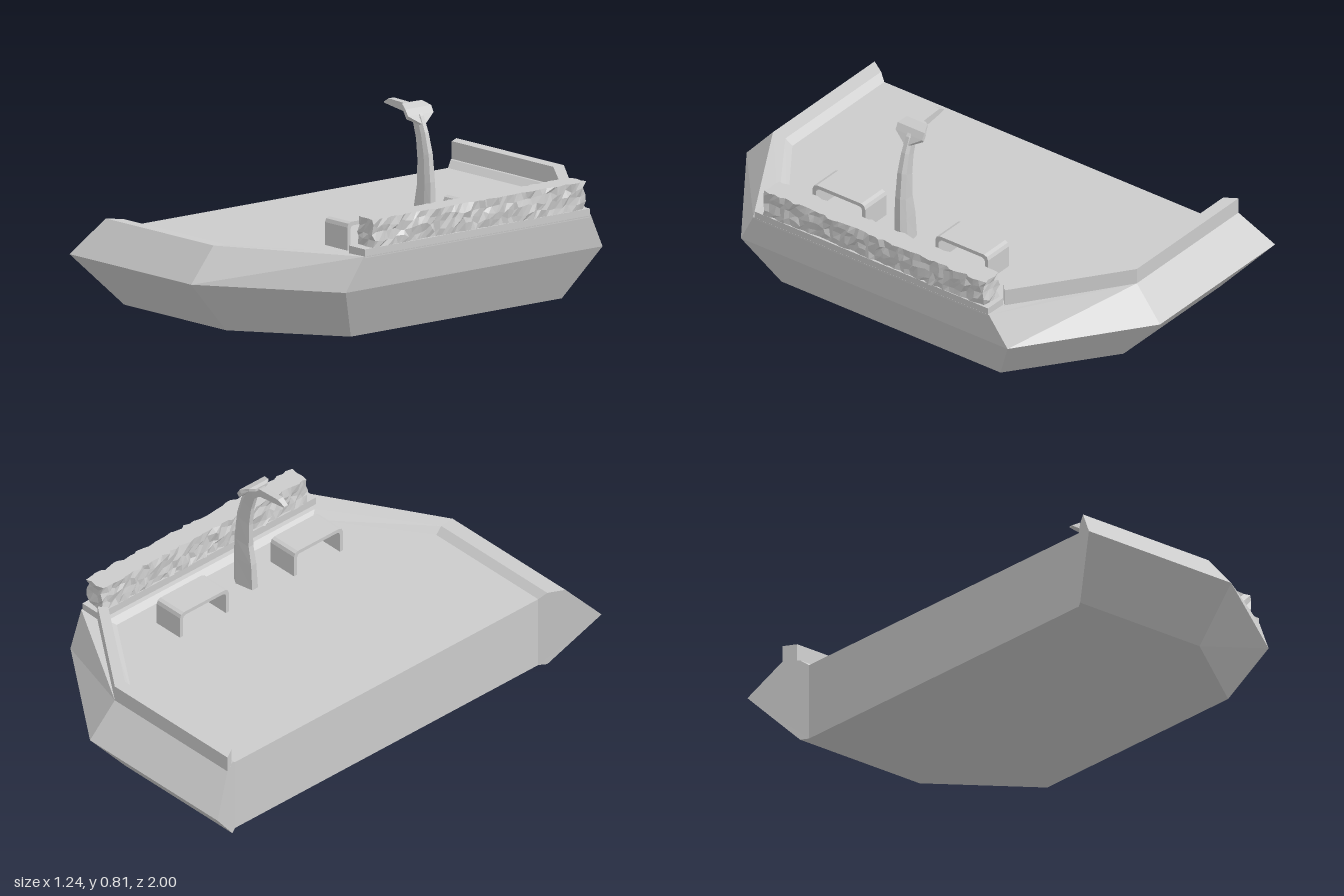
import * as THREE from 'three';

const material = new THREE.MeshStandardMaterial({ color: 0xcccccc, flatShading: true });

function addMesh(group, name, geometry) {
  const mesh = new THREE.Mesh(geometry, material);
  mesh.name = name;
  group.add(mesh);
  return mesh;
}

// Closed solid through a row of matching loops, with fan caps and outward faces
function loft(loops) {
  const tris = [];
  const n = loops[0].length;
  for (let i = 0; i < loops.length - 1; i++) {
    for (let j = 0; j < n; j++) {
      const k = (j + 1) % n;
      const a = loops[i][j], b = loops[i][k], c = loops[i + 1][k], d = loops[i + 1][j];
      tris.push([a, b, c], [a, c, d]);
    }
  }
  const first = loops[0], last = loops[loops.length - 1];
  for (let j = 1; j < n - 1; j++) {
    tris.push([first[0], first[j + 1], first[j]], [last[0], last[j], last[j + 1]]);
  }
  // Signed volume tells which way the faces point
  const v = (p) => new THREE.Vector3(...p);
  const volume = tris.reduce((sum, [a, b, c]) => sum + v(a).dot(v(b).cross(v(c))), 0);
  const positions = tris.flatMap(([a, b, c]) => (volume < 0 ? [a, c, b] : [a, b, c]).flat());
  const geometry = new THREE.BufferGeometry();
  geometry.setAttribute('position', new THREE.Float32BufferAttribute(positions, 3));
  geometry.computeVertexNormals();
  return geometry;
}

// Hull cross-section rows: height, then x, z at the cut end, side corner and bow corner
const rows = [
  [0, [-0.49, 0.79], [0.085, 0.79], [0.48, 0.51]],
  [0, [-0.509, 0.82], [0.095, 0.82], [0.49, 0.53]],
  [0.205, [-0.62, 1], [0.1, 1], [0.595, 0.645]],
  [0.34, [-0.546, 0.88], [0.09, 0.88], [0.615, 0.57]],
  [0.335, [-0.509, 0.82], [0.09, 0.82], [0.5, 0.54]],
  [0.31, [-0.49, 0.79], [0.085, 0.79], [0.48, 0.51]],
];

function hullLoops() {
  const station = (i, side) => rows.map((r) => [r[i][0], r[0], side * r[i][1]]);
  return [station(1, 1), station(2, 1), station(3, 1), station(3, -1), station(2, -1), station(1, -1)];
}

function floorGeometry() {
  const inner = rows[5].slice(1);
  const outline = [...inner, ...inner.slice().reverse().map(([x, z]) => [x, -z])];
  return loft([0, 0.31].map((y) => outline.map(([x, z]) => [x, y, z])));
}

// Raised wall along the rear rim and its diagonal
function wallGeometry() {
  const stations = [
    [-0.546, -0.88, -0.515, -0.83],
    [0.09, -0.88, 0.086, -0.83],
    [0.52, -0.572, 0.49, -0.545],
  ];
  return loft(stations.map(([ox, oz, ix, iz]) => [
    [ox, 0.335, oz], [ox, 0.405, oz], [ix, 0.405, iz], [ix, 0.325, iz],
  ]));
}

// Small repeatable noise from a vertex position, -1 to 1
function noise(x, y, z, seed) {
  const s = Math.sin(Math.round(x * 500) * 12.99 + Math.round(y * 500) * 78.23 + Math.round(z * 500) * 37.72 + seed) * 43758.55;
  return 2 * (s - Math.floor(s)) - 1;
}

// Rough-hewn block: level top, chipped sides
function stoneGeometry() {
  const box = new THREE.BoxGeometry(0.088, 0.11, 1.065, 3, 4, 44);
  const p = box.attributes.position;
  for (let i = 0; i < p.count; i++) {
    const x = p.getX(i), y = p.getY(i), z = p.getZ(i);
    const inside = Math.abs(y) < 0.05;
    p.setXYZ(i,
      x + 0.008 * noise(x, y, z, 1),
      y + (inside ? 0.009 * noise(x, y, z, 2) : 0),
      z + 0.008 * noise(x, y, z, 3));
  }
  const geometry = box.toNonIndexed();
  geometry.computeVertexNormals();
  return geometry;
}

// Arched bench profile (z, y) swept across x
function benchGeometry() {
  const arch = (w, h, r) => [
    [-w, 0], [-w, h - r], [-w + 0.3 * r, h - 0.3 * r], [-w + r, h],
    [w - r, h], [w - 0.3 * r, h - 0.3 * r], [w, h - r], [w, 0],
  ];
  const points = [...arch(0.127, 0.11, 0.02), ...arch(0.112, 0.095, 0.015).reverse()];
  const shape = new THREE.Shape(points.map(([a, b]) => new THREE.Vector2(a, b)));
  const geometry = new THREE.ExtrudeGeometry(shape, { depth: 0.132, bevelEnabled: false });
  geometry.translate(0, 0, -0.066);
  geometry.rotateY(Math.PI / 2);
  return geometry;
}

// Curved column: inner x, inner y, outer x, outer y, half width
function columnGeometry() {
  const sections = [
    [0.295, 0.31, 0.397, 0.31, 0.03],
    [0.303, 0.42, 0.4, 0.43, 0.027],
    [0.318, 0.5, 0.397, 0.52, 0.024],
    [0.319, 0.6, 0.385, 0.63, 0.021],
    [0.309, 0.68, 0.362, 0.71, 0.018],
    [0.29, 0.74, 0.335, 0.77, 0.016],
    [0.265, 0.775, 0.3, 0.803, 0.013],
  ];
  return loft(sections.map(([ix, iy, ox, oy, w]) => {
    const at = (t, z) => [ix + (ox - ix) * t, iy + (oy - iy) * t, z];
    return [at(0, -w * 0.5), at(0.75, -w), at(1, -w * 0.5), at(1, w * 0.5), at(0.75, w), at(0, w * 0.5)];
  }));
}

// Rectangular sections: x, bottom y, top y, half width
function bladeGeometry(sections) {
  return loft(sections.map(([x, low, high, w, shift = 0]) => [
    [x - shift, low, -w], [x, high, -w], [x, high, w], [x - shift, low, w],
  ]));
}

export function createModel() {
  const model = new THREE.Group();

  // Base
  addMesh(model, 'hull', loft(hullLoops()));
  addMesh(model, 'floor', floorGeometry());
  addMesh(model, 'rearWall', wallGeometry());

  // Side sill carrying the rough block
  const sill = addMesh(model, 'sill', new THREE.BoxGeometry(0.095, 0.035, 1.13));
  sill.position.set(0.567, 0.35, 0);
  const stone = addMesh(model, 'roughStone', stoneGeometry());
  stone.position.set(0.567, 0.421, -0.012);

  // Benches either side of the column
  for (const z of [-0.262, 0.332]) {
    const bench = addMesh(model, 'bench', benchGeometry());
    bench.position.set(0.32, 0.31, z);
  }

  // Curved column with crest and pointed beak
  const post = new THREE.Group();
  post.name = 'curvedPost';
  post.position.z = 0.04;
  addMesh(post, 'column', columnGeometry());
  addMesh(post, 'beak', bladeGeometry([
    [0.12, 0.788, 0.792, 0.01],
    [0.152, 0.785, 0.81, 0.013],
    [0.25, 0.774, 0.807, 0.015],
    [0.295, 0.745, 0.8, 0.015],
  ]));
  addMesh(post, 'crest', bladeGeometry([
    [0.26, 0.8, 0.812, 0.03],
    [0.275, 0.803, 0.815, 0.05],
    [0.312, 0.785, 0.8, 0.065, 0.008],
    [0.327, 0.762, 0.775, 0.064, 0.01],
    [0.345, 0.735, 0.742, 0.012, 0.006],
  ]));
  model.add(post);

  return model;
}
